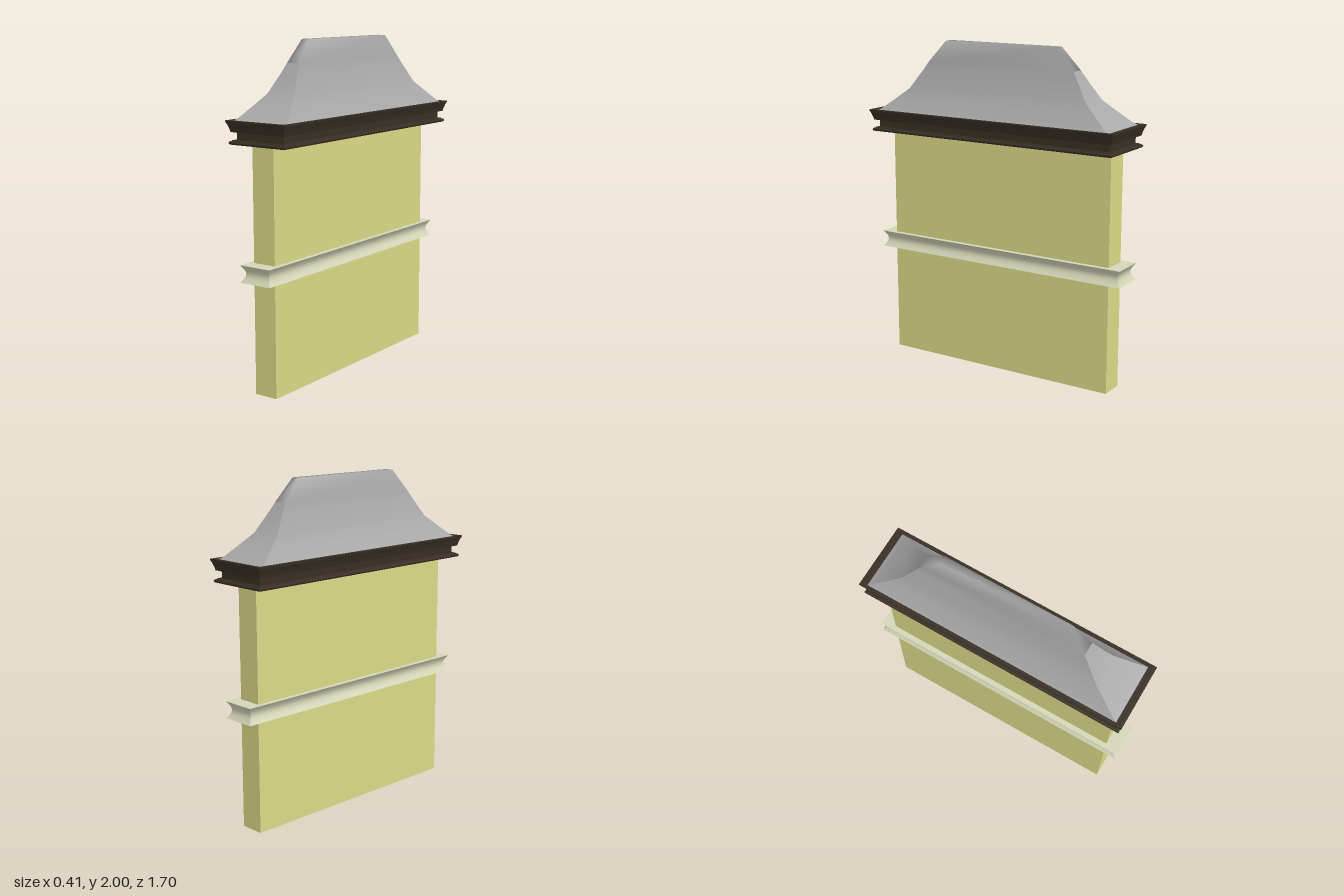
import * as THREE from 'three';
import { mergeVertices, mergeGeometries, toCreasedNormals } from 'three/addons/utils/BufferGeometryUtils.js';

// Triangles from a list of four-cornered faces (counter-clockwise from outside)
function facesGeometry(quads) {
  const pos = [];
  for (const [a, b, c, d] of quads) pos.push(...a, ...b, ...c, ...a, ...c, ...d);
  const g = new THREE.BufferGeometry();
  g.setAttribute('position', new THREE.Float32BufferAttribute(pos, 3));
  return g;
}

// Smooth normals across every edge the faces share
function smoothFaces(quads) {
  const g = mergeVertices(facesGeometry(quads), 1e-5);
  g.computeVertexNormals();
  return g.toNonIndexed();
}

// Corners of a horizontal rectangle, from half width, half depth and height
const ring = ([w, d, y]) => [[w, y, d], [w, y, -d], [-w, y, -d], [-w, y, d]];

// The face of side s between two rings (0 = +x, 1 = -z, 2 = -x, 3 = +z)
const sideFace = (lo, hi, s) => [lo[s], lo[(s + 1) % 4], hi[(s + 1) % 4], hi[s]];

// Mitred moulding around a rectangle: profile of [outward offset, y], closed at both ends
function moulding(w, d, profile) {
  const rings = profile.map(([o, y]) => ring([w + o, d + o, y]));
  const quads = [];
  for (let i = 0; i < rings.length - 1; i++)
    for (let s = 0; s < 4; s++) quads.push(sideFace(rings[i], rings[i + 1], s));
  const top = rings[rings.length - 1];
  quads.push(top, [...rings[0]].reverse());
  return toCreasedNormals(facesGeometry(quads), 0.6);
}

function roofGeometry() {
  // Concave flare, then the steep upper part that carries the ridge
  const rings = [
    [0.185, 0.8, 1.565], [0.172, 0.77, 1.58], [0.137, 0.7, 1.635], [0.095, 0.613, 1.705],
    [0.056, 0.535, 1.82], [0.042, 0.503, 1.87], [0.026, 0.385, 2.0],
  ].map(ring);
  const last = rings.length - 1;
  const body = [rings[last]];
  const ends = { 1: [], 3: [] };
  for (let i = 0; i < last; i++)
    for (let s = 0; s < 4; s++) {
      const face = sideFace(rings[i], rings[i + 1], s);
      // Lower hips are sharp; the upper ends blend into the long sides
      if (s % 2 && i < last - 1) ends[s].push(face);
      else body.push(face);
    }
  return mergeGeometries([body, ends[1], ends[3]].map(smoothFaces));
}

export function createModel() {
  const model = new THREE.Group();
  const add = (name, geometry, color, x = 0, y = 0) => {
    const mesh = new THREE.Mesh(geometry, new THREE.MeshStandardMaterial({ color }));
    mesh.name = name;
    mesh.position.set(x, y, 0);
    model.add(mesh);
  };

  // Thin wall slab
  add('wall', new THREE.BoxGeometry(0.148, 1.44, 1.524), 0xdada88, -0.01, 0.72);

  // String course with a hollowed face
  const hollow = [];
  for (let i = 0; i <= 8; i++) {
    const t = i / 8;
    hollow.push([-0.024 * Math.sin(Math.PI * t), 0.67 + 0.1 * t]);
  }
  add('stringCourse', moulding(0.105, 0.848, hollow), 0xd4d6b8, -0.01);

  // Cornice: rounded lip, recessed fascia and flared crown
  add('cornice', moulding(0.207, 0.843, [
    [-0.02, 1.435], [-0.014, 1.438], [-0.011, 1.445], [-0.014, 1.452], [-0.02, 1.455],
    [-0.024, 1.455], [-0.026, 1.46], [-0.044, 1.46], [-0.044, 1.505], [-0.02, 1.505],
    [-0.015, 1.525], [-0.007, 1.548], [0, 1.562], [0, 1.57], [-0.02, 1.57], [-0.022, 1.565],
  ]), 0x382f24);

  // Flared hipped roof
  add('roof', roofGeometry(), 0xa8a8a8);

  return model;
}
